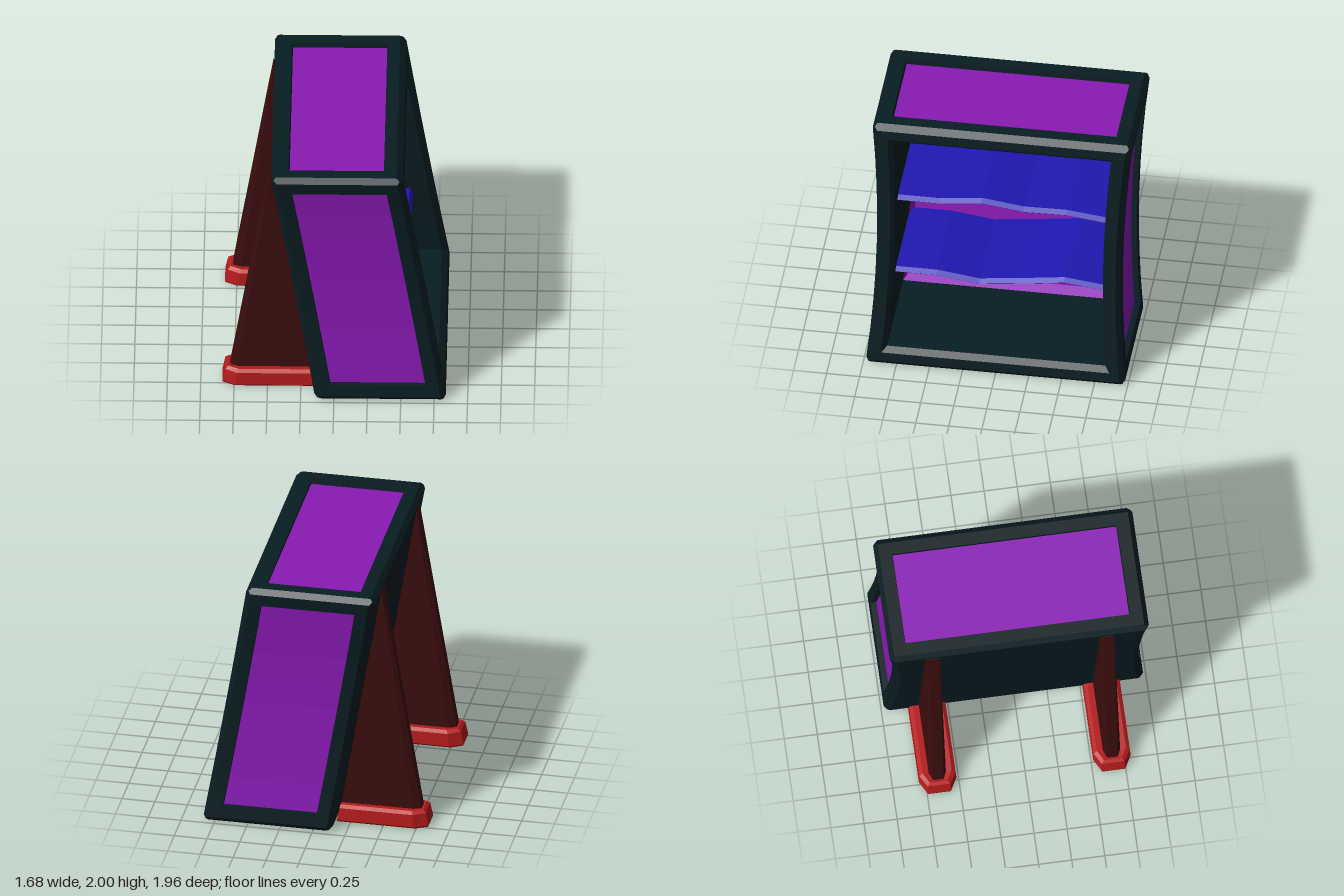
import * as THREE from 'three';
import { mergeGeometries } from 'three/addons/utils/BufferGeometryUtils.js';

const V = (x, y, z) => new THREE.Vector3(x, y, z);
const paint = (color) => new THREE.MeshStandardMaterial({ color, flatShading: true });
const MAT = {
  frame: paint(0x081d23), panel: paint(0x8a1ab5), shelf: paint(0x1f18b4),
  foot: paint(0xb71c1c), leg: paint(0x3c0d0d),
};
const SEG = 8;
const HALF = V(0.492, 1, 0.984);
const BEVEL = 0.04;

// Cabinet centre line leans towards -x with height; the sides pinch in at mid height
const lean = (y) => 0.352 - 0.168 * y;
function warp(p) {
  const h = p.y - 1;
  return V(p.x + lean(p.y), p.y, p.z * (1 - 0.06 * (1 - h * h)));
}

function warpGeometry(geo) {
  const pos = geo.attributes.position;
  for (let i = 0; i < pos.count; i++) {
    const p = warp(V(0, 0, 0).fromBufferAttribute(pos, i));
    pos.setXYZ(i, p.x, p.y, p.z);
  }
  geo.computeVertexNormals();
  return geo;
}

// Skin through a list of closed loops, optionally capping both ends
function loft(loops, capped = false) {
  const pts = [];
  const n = loops[0].length;
  for (let k = 0; k < loops.length - 1; k++) {
    const a = loops[k], b = loops[k + 1];
    for (let i = 0; i < n; i++) {
      const j = (i + 1) % n;
      pts.push(a[i], a[j], b[j], a[i], b[j], b[i]);
    }
  }
  if (capped) {
    const first = loops[0], last = loops[loops.length - 1];
    for (let i = 1; i < n - 1; i++) {
      pts.push(first[0], first[i + 1], first[i], last[0], last[i], last[i + 1]);
    }
  }
  const geo = new THREE.BufferGeometry().setFromPoints(pts);
  geo.computeVertexNormals();
  return geo;
}

// One side of the cabinet: right, up and outward axes with their half sizes
function side(r, t, n) {
  const size = (axis) => Math.abs(axis.dot(HALF));
  const [hr, ht, hn] = [size(r), size(t), size(n)];
  const at = (a, b, d) =>
    V(0, 1, 0).addScaledVector(r, a).addScaledVector(t, b).addScaledVector(n, d);
  // Subdivided rectangle, inset from the edges and sunk below the outer plane
  const rect = ([inset, sink]) => {
    const a = hr - inset, b = ht - inset, d = hn - sink;
    const corners = [[-a, -b], [a, -b], [a, b], [-a, b]];
    const loop = [];
    corners.forEach(([x0, y0], c) => {
      const [x1, y1] = corners[(c + 1) % 4];
      for (let i = 0; i < SEG; i++) {
        const f = i / SEG;
        loop.push(at(x0 + (x1 - x0) * f, y0 + (y1 - y0) * f, d));
      }
    });
    return loop;
  };
  return {
    rings: (levels) => warpGeometry(loft(levels.map(rect))),
    plate: (inset, sink) => {
      const geo = new THREE.PlaneGeometry(2 * (hr - inset), 2 * (ht - inset), SEG, SEG).toNonIndexed();
      geo.deleteAttribute('uv');
      geo.applyMatrix4(new THREE.Matrix4().makeBasis(r, t, n).setPosition(at(0, 0, hn - sink)));
      return warpGeometry(geo);
    },
  };
}

function add(group, name, geo, mat) {
  const mesh = new THREE.Mesh(geo, mat);
  mesh.name = name;
  group.add(mesh);
  return mesh;
}

function buildCabinet() {
  const cabinet = new THREE.Group();
  cabinet.name = 'cabinet';
  const X = V(1, 0, 0), Y = V(0, 1, 0), Z = V(0, 0, 1);
  const neg = (v) => v.clone().negate();
  const edge = [[BEVEL / 2, BEVEL / 2], [BEVEL, 0]];
  const inset = 0.135, sink = 0.045;
  const recess = [...edge, [inset, 0], [inset, sink]];
  const frame = [], panels = [];

  // Framed sides and top with recessed panels
  for (const axes of [[X, Y, Z], [neg(X), Y, neg(Z)], [X, neg(Z), Y]]) {
    const s = side(...axes);
    frame.push(s.rings(recess));
    panels.push(s.plate(inset, sink));
  }

  // Underside: dark recess with a coloured strip at one end
  const base = side(X, Z, neg(Y));
  frame.push(base.rings(recess), base.plate(inset, sink));
  const strip = new THREE.BoxGeometry(0.7, 0.01, 0.1).translate(0, sink, 0.79).toNonIndexed();
  strip.deleteAttribute('uv');
  panels.push(warpGeometry(strip));

  // Plain back
  const back = side(Z, Y, neg(X));
  frame.push(back.rings(edge), back.plate(BEVEL, 0));

  // Open side with inner walls and a bevelled inner back panel
  const open = side(neg(Z), Y, X);
  frame.push(open.rings([...edge, [0.11, 0], [0.145, 0.04], [0.145, 0.85]]));
  panels.push(open.rings([[0.145, 0.85], [0.18, 0.92]]), open.plate(0.18, 0.92));

  add(cabinet, 'cabinetFrame', mergeGeometries(frame), MAT.frame);
  add(cabinet, 'cabinetPanels', mergeGeometries(panels), MAT.panel);
  return cabinet;
}

// Warped board; heights are listed from +z to -z
function buildShelf(heights) {
  const depth = 1.6, steps = heights.length - 1;
  const profile = new THREE.Shape([
    [-0.42, -0.05], [0.315, -0.05], [0.335, -0.033], [0.31, 0], [-0.42, 0],
  ].map(([x, y]) => new THREE.Vector2(x, y)));
  const geo = new THREE.ExtrudeGeometry(profile, { depth, steps, bevelEnabled: false });
  geo.translate(0, 0, -depth / 2);
  const pos = geo.attributes.position;
  for (let i = 0; i < pos.count; i++) {
    const k = Math.round((depth / 2 - pos.getZ(i)) / depth * steps);
    pos.setY(i, pos.getY(i) + heights[k]);
    pos.setX(i, pos.getX(i) + lean(heights[k]));
  }
  geo.computeVertexNormals();
  return geo;
}

// Plan outline with a chamfered tip, its other end following the cabinet back
function outline(y, w, tip, chamfer) {
  const end = -0.148 - 0.167 * y;
  return [
    [end, w], [end, -w], [tip + chamfer, -w],
    [tip, -0.62 * w], [tip, 0.62 * w], [tip + chamfer, w],
  ].map(([x, z]) => V(x, y, z));
}

function buildSupport() {
  const support = new THREE.Group();
  support.name = 'support';
  // Foot with a groove underneath and a bevelled top
  add(support, 'foot', loft([
    outline(0.05, 0.04, -0.73, 0.03),
    outline(0.005, 0.07, -0.77, 0.05),
    outline(0.005, 0.13, -0.835, 0.09),
    outline(0.02, 0.142, -0.838, 0.1),
    outline(0.12, 0.137, -0.817, 0.09),
    outline(0.14, 0.11, -0.795, 0.08),
    outline(0.135, 0.06, -0.78, 0.04),
  ], true), MAT.foot);
  // Leg tapering up to the top edge of the cabinet
  add(support, 'leg', loft([
    outline(0.12, 0.065, -0.78, 0.06),
    outline(1.95, 0.055, -0.478, 0.003),
  ], true), MAT.leg);
  return support;
}

export function createModel() {
  const model = new THREE.Group();
  model.name = 'leaningShelfUnit';
  model.add(buildCabinet());
  add(model, 'upperShelf', buildShelf([1.32, 1.32, 1.355, 1.315, 1.32, 1.285]), MAT.shelf);
  add(model, 'lowerShelf', buildShelf([0.72, 0.72, 0.68, 0.715, 0.755, 0.72]), MAT.shelf);
  for (const z of [0.658, -0.658]) {
    const support = buildSupport();
    support.position.z = z;
    model.add(support);
  }
  return model;
}
